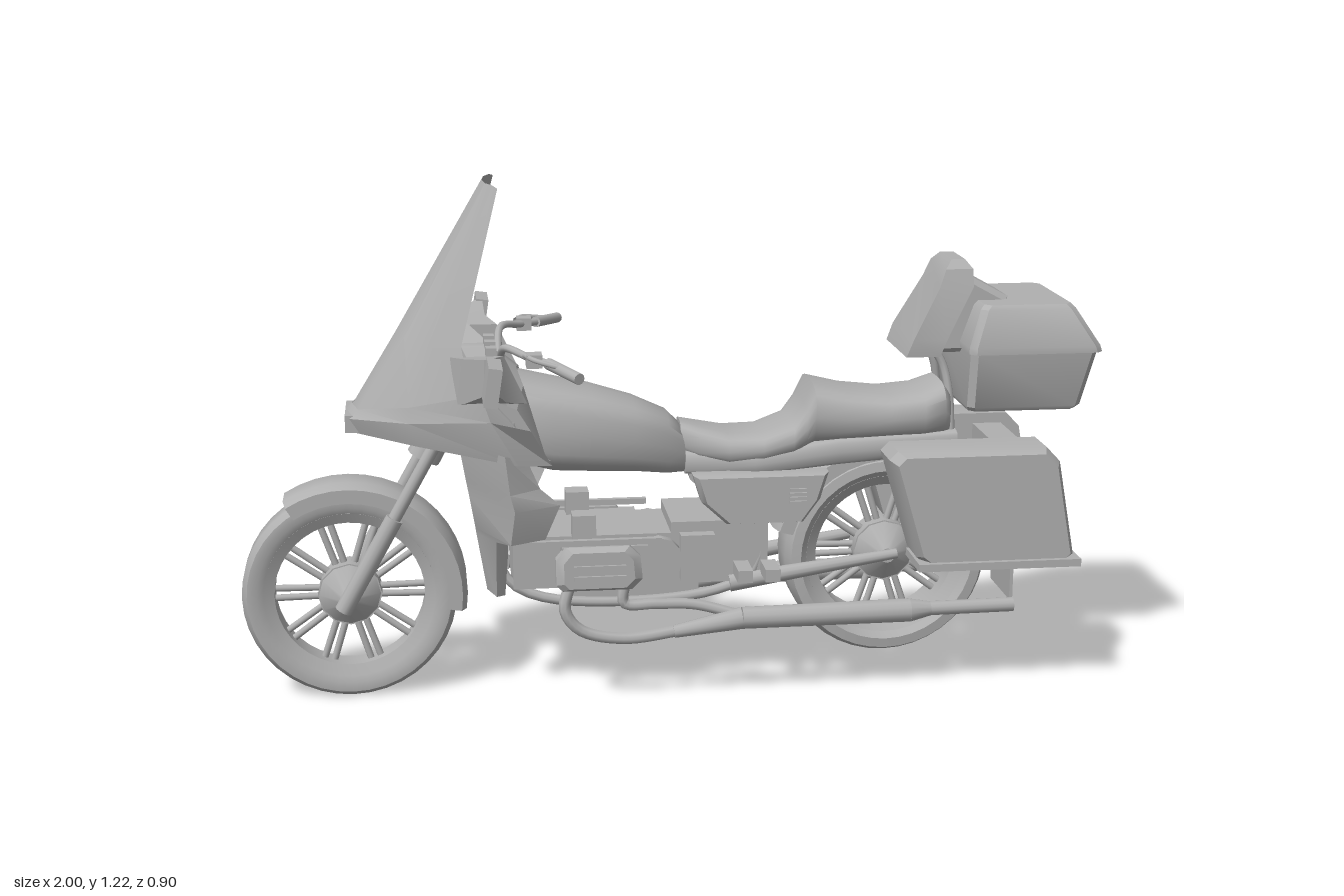
import * as THREE from 'three';
import { toCreasedNormals } from 'three/addons/utils/BufferGeometryUtils.js';

const V = (p) => new THREE.Vector3(...p);

export function createModel() {
  const model = new THREE.Group();
  model.name = 'touringMotorcycle';
  const grey = new THREE.MeshStandardMaterial({ color: 0xb0b0b0, side: THREE.DoubleSide });
  grey.name = 'plain grey';

  const add = (name, geo, parent = model) => {
    const m = new THREE.Mesh(geo, grey);
    m.name = name;
    parent.add(m);
    return m;
  };
  const box = (name, w, h, d, x, y, z) => {
    const m = add(name, new THREE.BoxGeometry(w, h, d));
    m.position.set(x, y, z);
    return m;
  };
  // Round bar between two points
  const bar = (name, a, b, r0, r1 = r0, parent = model) => {
    const A = V(a), B = V(b), d = B.clone().sub(A);
    const m = add(name, new THREE.CylinderGeometry(r1, r0, d.length(), 12), parent);
    m.position.copy(A).add(B).multiplyScalar(0.5);
    m.quaternion.setFromUnitVectors(new THREE.Vector3(0, 1, 0), d.normalize());
    return m;
  };
  const tube = (name, pts, r) =>
    add(name, new THREE.TubeGeometry(new THREE.CatmullRomCurve3(pts.map(V)), 32, r, 8));
  const both = (fn) => [1, -1].forEach(fn);

  // Skin through rows of points; closed rows are capped at both ends
  const loft = (name, rows, closed = true, crease = 0.5) => {
    const n = rows[0].length, pos = rows.flat(2), idx = [];
    for (let i = 0; i < rows.length - 1; i++)
      for (let j = 0; j < (closed ? n : n - 1); j++) {
        const k = (j + 1) % n, a = i * n + j, b = i * n + k;
        idx.push(a, b, b + n, a, b + n, a + n);
      }
    if (closed) [0, rows.length - 1].forEach((i) => {
      const c = pos.length / 3;
      for (let a = 0; a < 3; a++) pos.push(rows[i].reduce((s, p) => s + p[a], 0) / n);
      for (let j = 0; j < n; j++) {
        const a = i * n + j, b = i * n + (j + 1) % n;
        idx.push(...(i ? [a, b, c] : [b, a, c]));
      }
    });
    const g = new THREE.BufferGeometry();
    g.setAttribute('position', new THREE.Float32BufferAttribute(pos, 3));
    g.setIndex(idx);
    return add(name, toCreasedNormals(g, crease));
  };
  // Outline in x,y carried through steps of [z, scale]
  const taper = (name, pts, steps) => {
    const cx = pts.reduce((s, p) => s + p[0], 0) / pts.length;
    const cy = pts.reduce((s, p) => s + p[1], 0) / pts.length;
    return loft(name, steps.map(([z, k]) => pts.map(([x, y]) => [cx + (x - cx) * k, cy + (y - cy) * k, z])));
  };
  // Rounded body along x from stations [x, bottom, top, halfWidth]
  const hull = (name, stations, power = 0.65) => loft(name, stations.map(([x, y0, y1, w]) =>
    Array.from({ length: 20 }, (_, i) => {
      const a = i / 20 * Math.PI * 2, c = Math.cos(a), s = Math.sin(a);
      const f = (v) => Math.sign(v) * Math.abs(v) ** power;
      return [x, (y0 + y1) / 2 + f(s) * (y1 - y0) / 2, f(c) * w];
    })), true, 0.8);

  // Wheels: tyre, rim, conical hub and paired spokes
  const wheel = (name, x, y, R, w) => {
    const g = new THREE.Group();
    g.name = name;
    g.position.set(x, y, 0);
    model.add(g);
    const ring = (part, profile) => {
      const pts = [...profile, profile[0]].map(([r, h]) => new THREE.Vector2(r, h));
      add(part, toCreasedNormals(new THREE.LatheGeometry(pts, 40), 0.7), g).rotation.x = Math.PI / 2;
    };
    ring('tyre', [[R - 0.055, -w * 0.38], [R - 0.035, -w * 0.5], [R - 0.012, -w * 0.48], [R, -w * 0.32],
      [R, w * 0.32], [R - 0.012, w * 0.48], [R - 0.035, w * 0.5], [R - 0.055, w * 0.38]]);
    ring('rim', [[R - 0.075, -w * 0.3], [R - 0.05, -w * 0.42], [R - 0.05, w * 0.42], [R - 0.075, w * 0.3]]);
    bar('hub', [0, 0, -0.03], [0, 0, 0.03], 0.075, 0.075, g);
    both((s) => bar('hubCap', [0, 0, s * 0.03], [0, 0, s * 0.075], 0.072, 0.018, g));
    for (let i = 0; i < 10; i++) both((s) => {
      const a = i * Math.PI / 5, at = (r, o) => [Math.cos(a) * r - Math.sin(a) * o, Math.sin(a) * r + Math.cos(a) * o, 0];
      bar('spoke', at(0.06, s * 0.01), at(R - 0.07, s * 0.012), 0.008, 0.008, g);
    });
  };
  wheel('frontWheel', -0.75, 0.25, 0.25, 0.094);
  wheel('rearWheel', 0.525, 0.31, 0.245, 0.15);

  // Mudguards: curved strips with turned-down edges
  const guard = (name, x, y, R, w, from, to) => loft(name, Array.from({ length: 17 }, (_, i) => {
    const a = (from + (to - from) * i / 16) * Math.PI / 180;
    return [[R - 0.045, -w], [R - 0.012, -w], [R, -w * 0.6], [R, w * 0.6], [R - 0.012, w], [R - 0.045, w]]
      .map(([r, z]) => [x + Math.cos(a) * r, y + Math.sin(a) * r, z]);
  }), false);
  guard('frontMudguard', -0.75, 0.25, 0.275, 0.062, 122, -9);
  guard('rearMudguard', 0.525, 0.31, 0.285, 0.083, 5, 165);
  box('mudFlap', 0.008, 0.2, 0.165, 0.83, 0.29, 0);
  box('rearTailPanel', 0.07, 0.2, 0.165, 0.8, 0.49, 0);

  // Fork and handlebars
  both((s) => {
    bar('forkTube', [-0.53, 0.64, s * 0.075], [-0.66, 0.41, s * 0.075], 0.015);
    bar('forkLeg', [-0.64, 0.445, s * 0.075], [-0.765, 0.225, s * 0.075], 0.021);
    tube('handlebar', [[-0.39, 0.8, s * 0.04], [-0.38, 0.85, s * 0.12], [-0.33, 0.842, s * 0.19], [-0.28, 0.835, s * 0.25], [-0.23, 0.825, s * 0.345]], 0.009);
    bar('grip', [-0.29, 0.837, s * 0.235], [-0.23, 0.825, s * 0.345], 0.013);
    tube('lever', [[-0.34, 0.85, s * 0.2], [-0.32, 0.848, s * 0.25], [-0.255, 0.835, s * 0.29]], 0.006);
    box('switchHousing', 0.035, 0.03, 0.04, -0.32, 0.84, s * 0.21);
  });
  bar('axle', [-0.75, 0.25, -0.085], [-0.75, 0.25, 0.085], 0.016);
  bar('steeringHead', [-0.5, 0.7, 0], [-0.57, 0.57, 0], 0.04);

  // Windscreen and fairing shell
  const wide = (half) => [...half.slice(1).reverse().map(([x, y, z]) => [x, y, -z]), ...half];
  loft('windscreen', [
    [[-0.42, 1.215, 0], [-0.415, 1.215, 0.06], [-0.4, 1.215, 0.1], [-0.39, 1.21, 0.12]],
    [[-0.625, 0.87, 0], [-0.605, 0.87, 0.075], [-0.55, 0.87, 0.14], [-0.48, 0.87, 0.195]],
    [[-0.73, 0.7, 0], [-0.715, 0.7, 0.065], [-0.6, 0.72, 0.145], [-0.46, 0.76, 0.23]],
  ].map(wide), false);
  loft('fairingNose', [
    [[-0.73, 0.705, 0], [-0.715, 0.705, 0.068], [-0.6, 0.725, 0.15], [-0.44, 0.77, 0.24]],
    [[-0.745, 0.69, 0], [-0.735, 0.685, 0.075], [-0.6, 0.69, 0.16], [-0.42, 0.71, 0.253]],
    [[-0.735, 0.655, 0], [-0.72, 0.65, 0.07], [-0.58, 0.635, 0.155], [-0.36, 0.605, 0.24]],
    [[-0.5, 0.63, 0], [-0.48, 0.63, 0.05], [-0.42, 0.62, 0.09], [-0.28, 0.585, 0.12]],
  ].map(wide), false);
  loft('dashboard', [
    [[-0.61, 0.8, 0], [-0.58, 0.82, 0.08], [-0.48, 0.87, 0.19]],
    [[-0.42, 0.83, 0], [-0.41, 0.82, 0.09], [-0.43, 0.77, 0.245]],
    [[-0.35, 0.78, 0], [-0.34, 0.76, 0.11], [-0.37, 0.7, 0.24]],
    [[-0.33, 0.7, 0], [-0.32, 0.69, 0.12], [-0.29, 0.59, 0.15]],
  ].map(wide), false);
  for (const z of [-0.07, 0, 0.07]) box('gauge', 0.025, 0.025, 0.03, -0.41, 0.83, z);
  box('headlamp', 0.03, 0.04, 0.15, -0.73, 0.672, 0);

  both((s) => {
    // Fairing sides and leg shields
    loft('fairingSide', [
      [[-0.44, 0.77, s * 0.245], [-0.42, 0.71, s * 0.253], [-0.36, 0.605, s * 0.24]],
      [[-0.36, 0.73, s * 0.22], [-0.33, 0.68, s * 0.22], [-0.28, 0.585, s * 0.17]],
    ], false);
    loft('legShield', [
      [[-0.49, 0.63, s * 0.1], [-0.39, 0.63, s * 0.25], [-0.34, 0.61, s * 0.2]],
      [[-0.475, 0.54, s * 0.1], [-0.38, 0.54, s * 0.25], [-0.31, 0.54, s * 0.2]],
      [[-0.468, 0.5, s * 0.095], [-0.37, 0.5, s * 0.25], [-0.265, 0.5, s * 0.2]],
      [[-0.455, 0.42, s * 0.085], [-0.38, 0.42, s * 0.24], [-0.3, 0.42, s * 0.2]],
      [[-0.453, 0.405, s * 0.08], [-0.41, 0.405, s * 0.16], [-0.38, 0.405, s * 0.14]],
      [[-0.43, 0.26, s * 0.06], [-0.41, 0.26, s * 0.12], [-0.39, 0.26, s * 0.11]],
    ], false);
    // Mirrors on wedge arms
    const mirror = box('mirror', 0.03, 0.085, 0.11, -0.42, 0.833, s * 0.395);
    mirror.rotation.z = -0.15;
    loft('mirrorArm', [[0.345, -0.42, 0.833, 0.015, 0.04], [0.25, -0.43, 0.805, 0.045, 0.05], [0.18, -0.42, 0.79, 0.085, 0.055]].map(([z, x, y, w, h]) =>
      [[-w, -h], [w, -h], [w * 0.4, h], [-w, h]].map(([a, b]) => [x + a, y + b, s * z])));
  });

  // Tank and stepped seat
  hull('fuelTank', [[-0.38, 0.58, 0.74, 0.09], [-0.35, 0.56, 0.77, 0.112], [-0.27, 0.54, 0.75, 0.12], [-0.18, 0.535, 0.73, 0.116],
    [-0.08, 0.53, 0.7, 0.1], [0, 0.52, 0.665, 0.075], [0.04, 0.52, 0.625, 0.05]]);
  hull('seat', [[0.03, 0.57, 0.645, 0.045], [0.07, 0.555, 0.635, 0.07], [0.14, 0.545, 0.618, 0.092], [0.22, 0.55, 0.618, 0.1],
    [0.29, 0.565, 0.645, 0.104], [0.32, 0.58, 0.69, 0.108], [0.34, 0.59, 0.735, 0.11], [0.42, 0.595, 0.715, 0.112],
    [0.52, 0.6, 0.703, 0.112], [0.6, 0.6, 0.71, 0.11], [0.65, 0.6, 0.73, 0.1], [0.665, 0.6, 0.715, 0.085]]);
  hull('seatBase', [[0.04, 0.52, 0.58, 0.06], [0.2, 0.52, 0.58, 0.095], [0.4, 0.54, 0.61, 0.1], [0.68, 0.56, 0.62, 0.1]], 0.4);

  // Engine and gearbox
  box('engineBlock', 0.37, 0.125, 0.2, -0.185, 0.332, 0);
  box('gearbox', 0.23, 0.15, 0.2, 0.115, 0.345, 0);
  box('radiator', 0.04, 0.26, 0.2, -0.4, 0.45, 0);
  box('sump', 0.3, 0.04, 0.14, -0.08, 0.25, 0);
  both((s) => {
    box('cylinderBank', 0.2, 0.1, 0.08, -0.16, 0.335, s * 0.12);
    taper('rockerCover', [[-0.26, 0.285], [-0.1, 0.285], [-0.075, 0.31], [-0.08, 0.365], [-0.105, 0.39], [-0.25, 0.39], [-0.275, 0.36], [-0.275, 0.3]],
      [[s * 0.15, 1], [s * 0.175, 1], [s * 0.19, 0.82]]);
    for (const y of [0.32, 0.345]) box('coverRib', 0.12, 0.01, 0.008, -0.175, y, s * 0.192);
    box('carburettor', 0.055, 0.06, 0.05, -0.205, 0.42, s * 0.1);
    bar('gearCover', [-0.03, 0.335, s * 0.09], [-0.03, 0.335, s * 0.125], 0.055);
    box('clutchHousing', 0.08, 0.11, 0.03, 0.06, 0.34, s * 0.115);
    for (const x of [0.165, 0.23]) box('footPeg', 0.035, 0.03, 0.08, x, 0.305, s * 0.14);

    // Side covers with a vent
    taper('sideCover', [[0.05, 0.535], [0.37, 0.535], [0.35, 0.47], [0.31, 0.415], [0.13, 0.415], [0.07, 0.47]],
      [[s * 0.08, 1], [s * 0.115, 1], [s * 0.13, 0.92]]);
    for (let i = 0; i < 4; i++) box('ventSlat', 0.04, 0.006, 0.008, 0.295, 0.468 + i * 0.01, s * 0.132);

    // Frame and swing arm
    tube('frameRail', [[-0.45, 0.56, s * 0.05], [-0.39, 0.3, s * 0.08], [-0.3, 0.245, s * 0.09], [0.1, 0.245, s * 0.09], [0.2, 0.3, s * 0.09], [0.22, 0.5, s * 0.08]], 0.012);
    bar('swingArm', [0.14, 0.265, s * 0.095], [0.54, 0.325, s * 0.105], 0.022, 0.012);
    box('crashBar', 0.34, 0.014, 0.014, -0.2, 0.398, s * 0.165);

    // Exhaust: two header pipes into a long silencer
    tube('headerPipe', [[-0.24, 0.3, s * 0.15], [-0.255, 0.235, s * 0.16], [-0.22, 0.185, s * 0.16], [-0.12, 0.16, s * 0.16], [0.02, 0.175, s * 0.16], [0.18, 0.2, s * 0.165]], 0.014);
    tube('headerPipe', [[-0.11, 0.3, s * 0.14], [-0.115, 0.24, s * 0.14], [-0.04, 0.235, s * 0.14], [0.05, 0.23, s * 0.14], [0.16, 0.205, s * 0.16]], 0.013);
    bar('silencerCone', [0.0, 0.172, s * 0.162], [0.16, 0.2, s * 0.165], 0.015, 0.026);
    bar('silencer', [0.16, 0.2, s * 0.165], [0.56, 0.203, s * 0.165], 0.026, 0.028);
    bar('silencerEnd', [0.56, 0.203, s * 0.165], [0.61, 0.205, s * 0.165], 0.028, 0.017);
    bar('tailPipe', [0.6, 0.205, s * 0.165], [0.81, 0.207, s * 0.165], 0.017);

    // Saddlebags with a flange along the bottom
    taper('saddlebag', [[0.49, 0.585], [0.51, 0.605], [0.86, 0.605], [0.893, 0.57], [0.935, 0.345], [0.92, 0.33], [0.585, 0.33], [0.56, 0.35]],
      [[s * 0.12, 1], [s * 0.215, 1], [s * 0.245, 0.93]]);
    box('saddlebagFlange', 0.385, 0.018, 0.135, 0.75, 0.335, s * 0.19);
    bar('bagRail', [0.54, 0.55, s * 0.1], [0.85, 0.5, s * 0.1], 0.012);
  });

  // Top case with lid seam, backrest and bracket
  const slab = (y, x0, x1, w, c = 0.015) => [[x0 + c, y, -w], [x1 - c, y, -w], [x1, y, -w + c], [x1, y, w - c],
    [x1 - c, y, w], [x0 + c, y, w], [x0, y, w - c], [x0, y, -w + c]];
  loft('topCase', [slab(0.675, 0.695, 0.95, 0.14), slab(0.685, 0.69, 0.96, 0.147), slab(0.815, 0.69, 0.99, 0.165)]);
  loft('topCaseLid', [slab(0.815, 0.685, 1, 0.172), slab(0.83, 0.685, 0.995, 0.172), slab(0.915, 0.715, 0.94, 0.147), slab(0.925, 0.725, 0.93, 0.138)]);
  const rest = (x, y, w, c = 0.02) => [[x, y, -w], [x + c * 4, y, -w], [x + c * 4, y, w], [x, y, w]];
  loft('backrest', [rest(0.55, 0.8, 0.105), rest(0.565, 0.84, 0.108), rest(0.63, 0.96, 0.085), rest(0.645, 1, 0.075, 0.016), rest(0.662, 1.02, 0.055, 0.008)]);
  taper('backrestSupport', [[0.62, 0.8], [0.69, 0.99], [0.8, 0.93], [0.72, 0.8]], [[-0.07, 0.85], [-0.055, 1], [0.055, 1], [0.07, 0.85]]);
  both((s) => tube('backrestBracket', [[0.62, 0.82, s * 0.05], [0.65, 0.77, s * 0.05], [0.665, 0.7, s * 0.06], [0.67, 0.6, s * 0.07]], 0.01));

  // Set on the ground and centre lengthwise
  const b = new THREE.Box3().setFromObject(model);
  model.children.forEach((c) => { c.position.y -= b.min.y; c.position.x -= (b.min.x + b.max.x) / 2; });
  return model;
}
